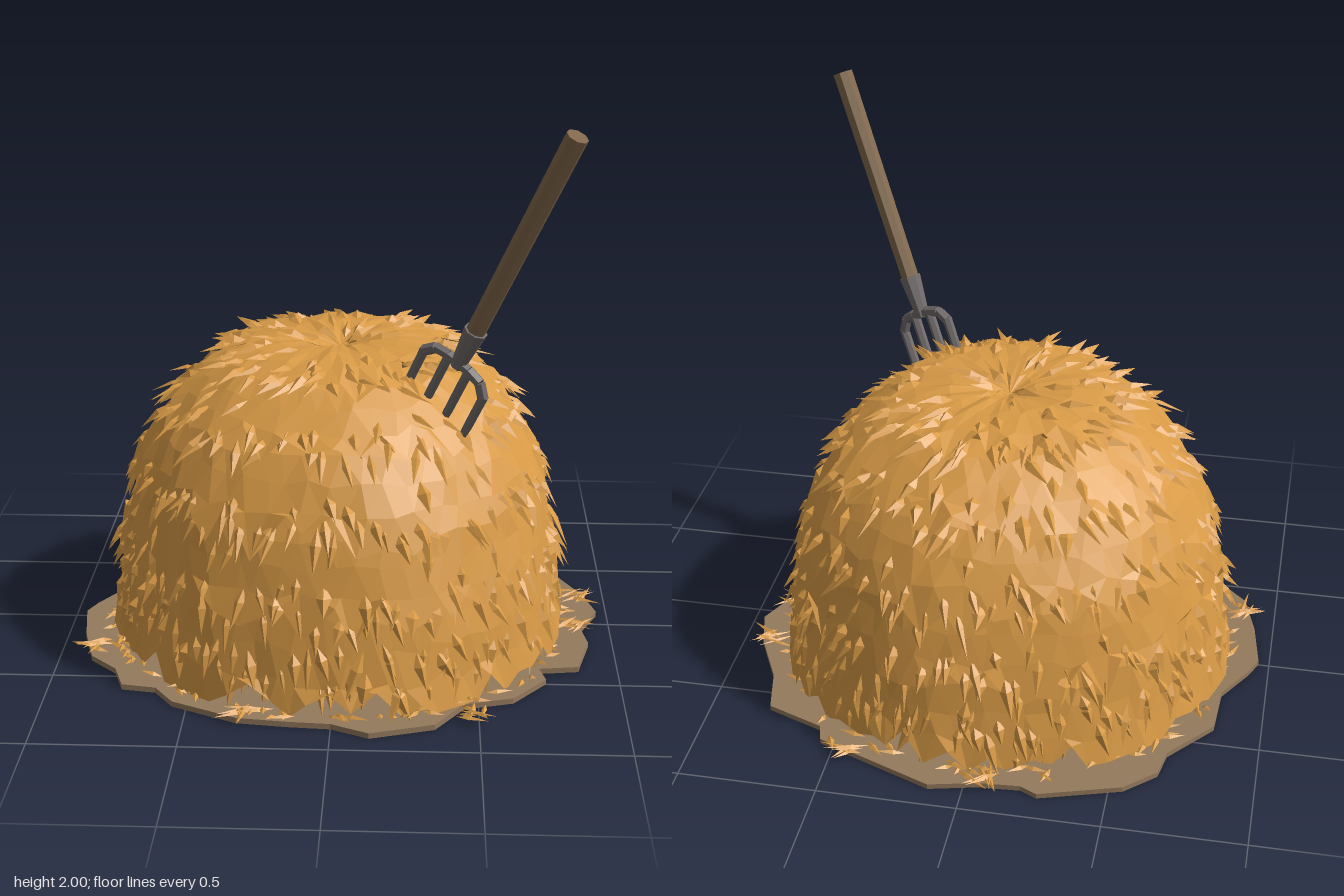
import * as THREE from 'three';
import { mergeGeometries } from 'three/addons/utils/BufferGeometryUtils.js';

const V = (x, y, z) => new THREE.Vector3(x, y, z);
const UP = V(0, 1, 0);

// small seeded random source
let seed = 11;
function rnd(a = 0, b = 1) {
  seed = (seed * 16807) % 2147483647;
  return a + (b - a) * (seed / 2147483647);
}

// flat-shaded surface from a plain list of triangle corners
function facets(points) {
  const g = new THREE.BufferGeometry().setFromPoints(points);
  g.computeVertexNormals();
  return g;
}

// silhouette of the heap from crown to ground (radius, height)
const profile = new THREE.SplineCurve([
  [0, 1.09], [0.18, 1.11], [0.36, 1.07], [0.51, 0.97], [0.63, 0.83],
  [0.71, 0.66], [0.755, 0.45], [0.785, 0.22], [0.8, 0.0],
].map(p => new THREE.Vector2(...p)));

// point on the heap: t down the profile, a around, lift outwards
function onHeap(t, a, lift = 0) {
  const p = profile.getPoint(Math.min(t, 1)), d = profile.getTangent(Math.min(t, 1));
  const r = p.x * (1 + 0.015 * Math.sin(3 * a + 1) + 0.01 * Math.sin(7 * a)) - d.y * lift;
  return V(r * Math.sin(a), Math.max(0.012, p.y + d.x * lift), r * Math.cos(a));
}

// t on the profile at a given height (lower flank and shoulder)
function tAt(y) {
  let t = 0.2;
  while (t < 1 && profile.getPoint(t).y > y) t += 0.004;
  return Math.min(t, 1);
}

// thatched layer with a ragged, flared hem
function skirt(t0, t1, cols) {
  const rows = 4, grid = [], tris = [];
  for (let j = 0; j <= rows; j++) {
    const f = j / rows, line = [];
    for (let i = 0; i < cols; i++) {
      const hem = j === rows;
      const a = (i + (j % 2) * 0.5 + rnd(-0.22, 0.22)) / cols * Math.PI * 2;
      const drop = hem ? rnd(-0.045, 0.03) + (i % 2 ? 0.02 : -0.02) : j ? rnd(-0.012, 0.012) : 0;
      const lift = 0.034 * f * f + (j ? rnd(-0.004, 0.007) : -0.012);
      line.push(onHeap(Math.max(0, t0 + (t1 - t0) * f + drop), a, lift));
    }
    grid.push(line);
  }
  for (let j = 0; j < rows; j++) {
    for (let i = 0; i < cols; i++) {
      const k = (i + 1) % cols;
      const a = grid[j][i], b = grid[j][k], c = grid[j + 1][i], d = grid[j + 1][k];
      if (j % 2) tris.push(a, c, d, a, d, b);
      else tris.push(a, c, b, b, c, d);
    }
  }
  return facets(tris);
}

// folded straw blade from a root to a tip, appended to a triangle list
function blade(tris, root, tip, normal, width) {
  const side = tip.clone().sub(root).cross(normal).normalize().multiplyScalar(width / 2);
  const mid = root.clone().lerp(tip, 0.4);
  const ridge = mid.clone().addScaledVector(normal, width * 0.4);
  const l = mid.clone().add(side), r = mid.clone().sub(side);
  tris.push(root, ridge, l, root, r, ridge, l, ridge, tip, ridge, r, tip);
}

// blades scattered around one height of the heap
function fringe(tris, count, t, spread, len, lift) {
  for (let i = 0; i < count; i++) {
    const a = (i + rnd()) / count * Math.PI * 2;
    const s = Math.max(0.02, t + rnd(-spread, spread));
    const root = onHeap(s, a, 0.006);
    const n = onHeap(s, a, 0.1).sub(root).normalize();
    const around = V(Math.cos(a), 0, -Math.sin(a));
    const down = around.clone().cross(n).normalize();
    if (down.y > 0 && s > 0.2) down.negate();
    const l = rnd(len * 0.6, len * 1.25);
    const tip = root.clone().addScaledVector(down, l)
      .addScaledVector(around, rnd(-0.5, 0.5) * l).addScaledVector(n, rnd(0.2, 1) * lift);
    tip.y = Math.max(0.015, tip.y);
    blade(tris, root, tip, n, rnd(0.025, 0.055));
  }
}

// tapered bar between two points
function bar(a, b, r0, r1, sides) {
  const d = b.clone().sub(a);
  const g = new THREE.CylinderGeometry(r1, r0, d.length(), sides).toNonIndexed();
  g.computeVertexNormals();
  g.applyQuaternion(new THREE.Quaternion().setFromUnitVectors(UP, d.normalize()));
  return g.translate(...a.clone().add(b).multiplyScalar(0.5).toArray());
}

export function createModel() {
  seed = 11;
  const mat = (name, color, extra = {}) => new THREE.MeshStandardMaterial({ name, color, ...extra });
  const straw = mat('straw', 0xd89a46, { side: THREE.DoubleSide });
  const earth = mat('earth', 0x947a5d);
  const wood = mat('wood', 0x7f6649);
  const iron = mat('iron', 0x706969);
  const model = new THREE.Group();
  model.name = 'haystack';
  const add = (name, geo, material, parent = model) => {
    const m = new THREE.Mesh(geo, material);
    m.name = name;
    parent.add(m);
  };

  // trodden earth patch, outline as x, z
  const outline = [
    [0.12, -0.92], [0.55, -0.75], [0.57, -0.68], [0.78, -0.6], [0.82, -0.42], [0.92, -0.22], [0.96, -0.07],
    [0.89, 0.08], [0.91, 0.2], [0.86, 0.4], [0.72, 0.42], [0.74, 0.5], [0.62, 0.65], [0.45, 0.7],
    [0.35, 0.85], [0.13, 0.92], [0, 0.86], [-0.15, 0.85], [-0.32, 0.83], [-0.55, 0.72],
    [-0.62, 0.62], [-0.74, 0.6], [-0.78, 0.48], [-0.88, 0.38], [-0.93, 0.2], [-0.96, 0],
    [-0.93, -0.07], [-0.84, -0.22], [-0.83, -0.42], [-0.68, -0.6], [-0.66, -0.71],
    [-0.55, -0.81], [-0.26, -0.9], [-0.2, -0.87], [-0.05, -0.88],
  ].map(([x, z]) => new THREE.Vector2(x, -z));
  const patch = new THREE.ExtrudeGeometry(new THREE.Shape(outline), { depth: 0.02, bevelEnabled: false });
  add('earthPatch', patch.rotateX(-Math.PI / 2), earth);

  // overlapping hay layers, crown last
  const hay = new THREE.Group();
  hay.name = 'hayHeap';
  model.add(hay);
  const hems = [1.04, 0.86, 0.61, 0.33, 0.03].map(tAt);
  hems.forEach((t, i) => {
    const start = i ? hems[i - 1] - 0.07 : 0;
    add('hayLayer', skirt(start, t, 38 + i * 8), straw, hay);
  });

  // loose blades along the hems and over the slopes
  const tufts = [];
  hems.forEach((t, i) => {
    const low = i === 4;
    fringe(tufts, 60 + i * 18, t - (low ? 0.1 : 0.05), 0.035, 0.14, low ? 0.04 : 0.07);
    fringe(tufts, 24 + i * 4, t - 0.09, 0.06, 0.11, 0.04);
  });
  fringe(tufts, 14, 0.06, 0.04, 0.13, 0.03);
  fringe(tufts, 30, 0.2, 0.06, 0.13, 0.04);
  add('hayTufts', facets(tufts), straw, hay);

  // stray straw lying on the ground
  const strays = [];
  const heaps = [[0.49, 0.79], [-0.88, 0.3], [0.89, -0.2], [0.47, -0.8], [-0.3, 0.8], [-0.06, -0.86], [0.86, 0.05]];
  for (const [x, z] of heaps) {
    for (let i = 0; i < 7; i++) {
      const a = Math.atan2(z, x) + rnd(-1.1, 1.1), l = rnd(0.04, 0.09);
      const c = V(x + rnd(-0.04, 0.04), rnd(0.022, 0.03), z + rnd(-0.04, 0.04));
      const d = V(Math.cos(a) * l, rnd(0, 0.02), Math.sin(a) * l);
      blade(strays, c.clone().sub(d).setY(0.022), c.clone().add(d), UP, rnd(0.015, 0.03));
    }
  }
  for (let i = 0; i < 90; i++) {
    const a = rnd(0, 6.283), r = rnd(0.78, 0.84), b = a + rnd(-0.12, 0.12), s = r + rnd(0.03, 0.07);
    blade(strays, V(r * Math.sin(a), 0.025, r * Math.cos(a)),
      V(s * Math.sin(b), rnd(0.022, 0.045), s * Math.cos(b)), UP, 0.025);
  }
  add('strayStraw', facets(strays), straw);

  // pitchfork stuck into the shoulder of the heap
  const fork = new THREE.Group();
  fork.name = 'pitchfork';
  model.add(fork);
  const neck = V(0.415, 1.15, 0.425), end = V(0.765, 1.985, 0.71);
  const axis = end.clone().sub(neck).normalize();
  const across = V(0.21, -0.1, 0.14);
  across.addScaledVector(axis, -across.dot(axis)).normalize();
  const at = (u, v) => neck.clone().addScaledVector(across, u).addScaledVector(axis, v);
  add('handle', bar(at(0, 0.12), end, 0.034, 0.038, 8), wood, fork);
  add('socket', bar(at(0, -0.01), at(0, 0.15), 0.026, 0.042, 8), iron, fork);

  // bowed yoke and four tines
  const yoke = [-0.135, -0.1, -0.045, 0.045, 0.1, 0.135];
  const bow = [-0.045, -0.005, 0.005, 0.005, -0.005, -0.045];
  const head = [];
  for (let i = 0; i < 5; i++) head.push(bar(at(yoke[i], bow[i]), at(yoke[i + 1], bow[i + 1]), 0.02, 0.02, 6));
  for (const [u, v] of [[-0.135, -0.035], [-0.045, 0], [0.045, 0], [0.135, -0.035]]) {
    head.push(bar(at(u, v), at(u, -0.18), 0.018, 0.017, 6));
    head.push(bar(at(u, -0.18), at(u * 0.97, -0.31), 0.017, 0.007, 6));
  }
  add('tines', mergeGeometries(head), iron, fork);
  return model;
}
